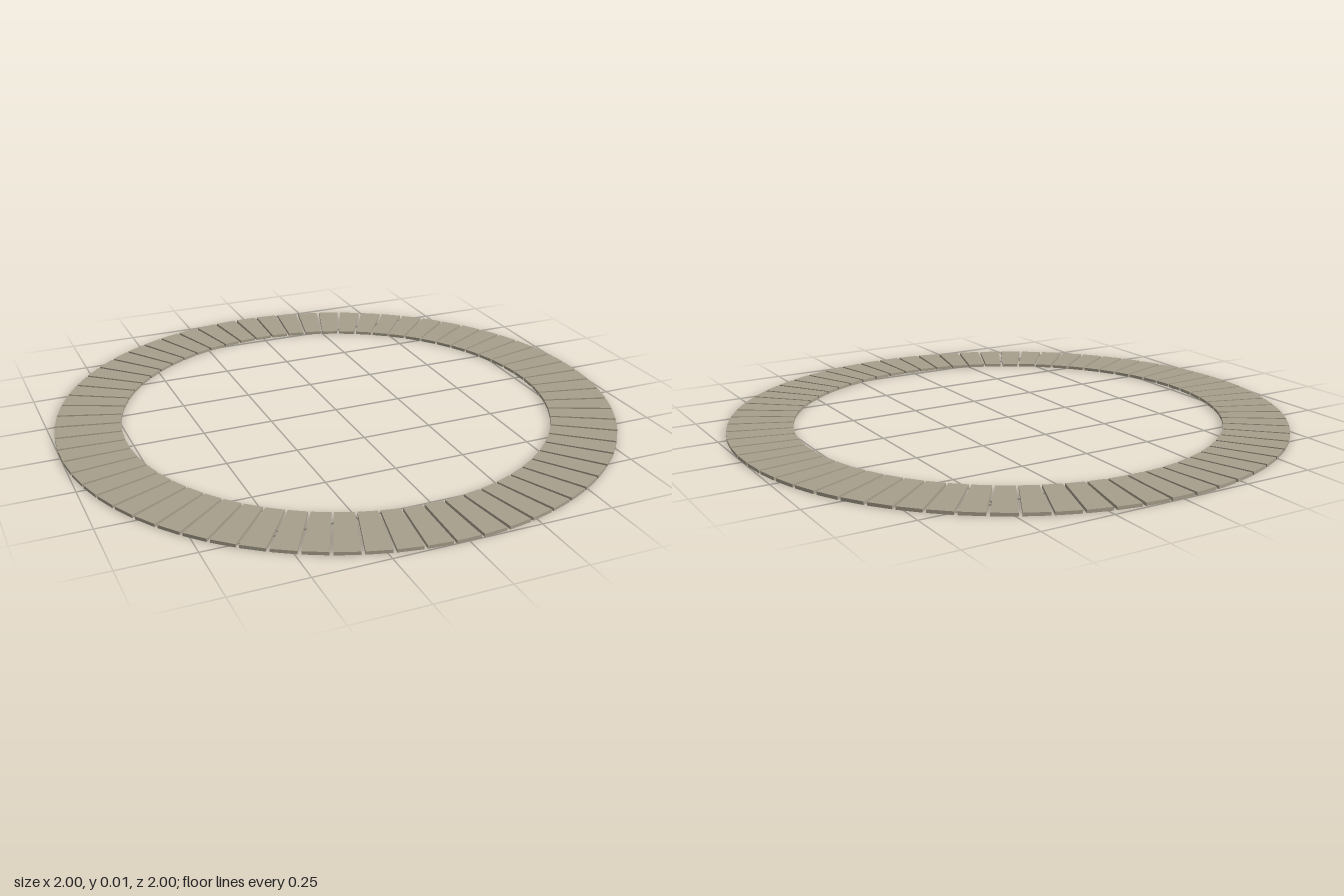
import * as THREE from 'three';

const COUNT = 68;
const INNER = 0.77, OUTER = 1, THICKNESS = 0.011;
const FILL = 0.88; // share of each step taken by stone, the rest is the joint

// One wedge-shaped paving stone pointing along +x, lying on y = 0
function stoneGeometry() {
  const t = Math.tan((Math.PI / COUNT) * FILL);
  const shape = new THREE.Shape([
    new THREE.Vector2(INNER, -INNER * t),
    new THREE.Vector2(OUTER, -OUTER * t),
    new THREE.Vector2(OUTER, OUTER * t),
    new THREE.Vector2(INNER, INNER * t),
  ]);
  const geometry = new THREE.ExtrudeGeometry(shape, { depth: THICKNESS, bevelEnabled: false });
  return geometry.rotateX(-Math.PI / 2);
}

export function createModel() {
  const model = new THREE.Group();
  model.name = 'stoneRing';
  const material = new THREE.MeshStandardMaterial({ color: 0xa89f8c, flatShading: true });
  const geometry = stoneGeometry();

  // Ring of evenly spaced stones
  for (let i = 0; i < COUNT; i++) {
    const stone = new THREE.Mesh(geometry, material);
    stone.name = `stone${i + 1}`;
    stone.rotation.y = (i / COUNT) * Math.PI * 2;
    model.add(stone);
  }
  return model;
}
